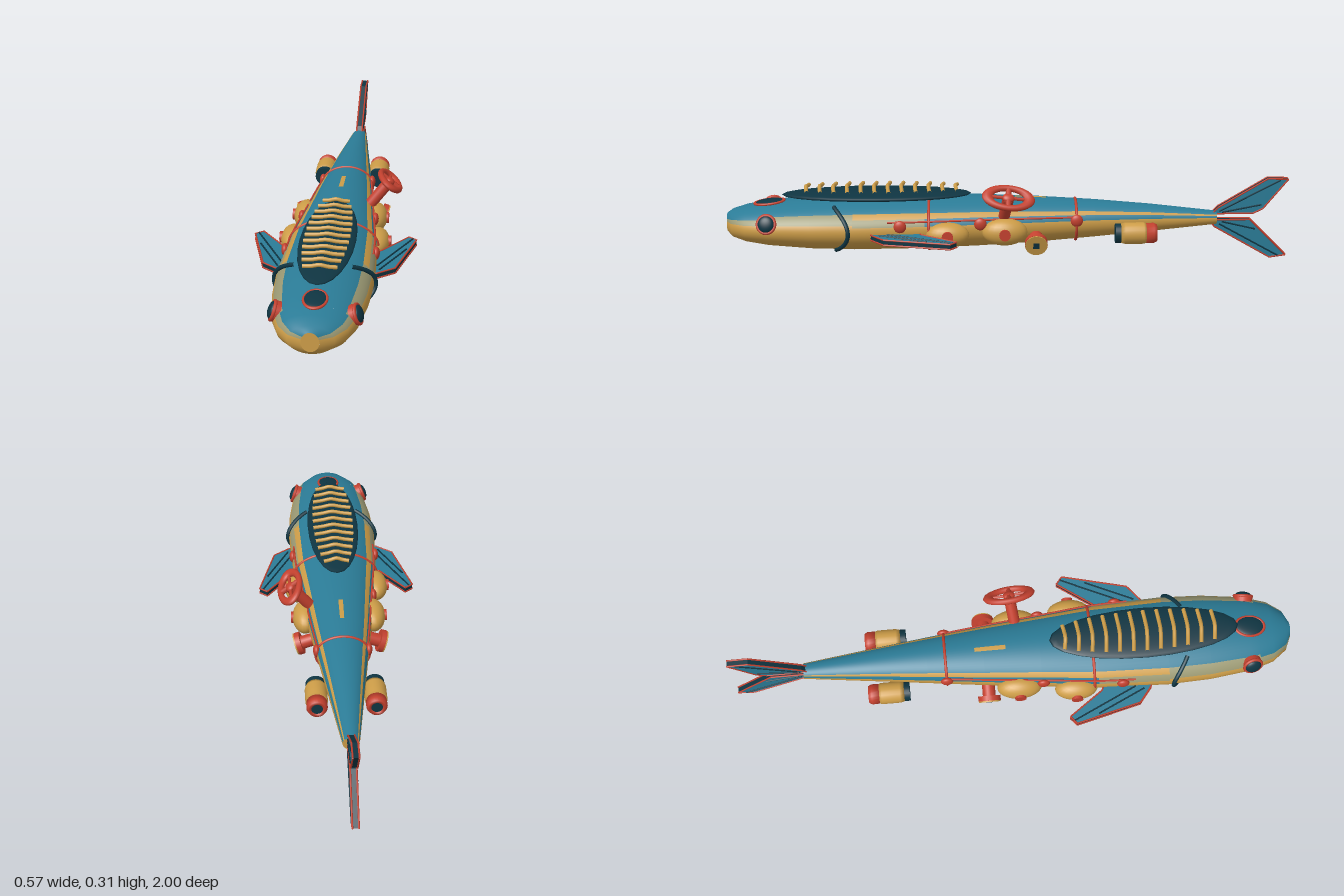
import * as THREE from 'three';

const mat = (name, color) => Object.assign(new THREE.MeshStandardMaterial({ color }), { name });
const V = (x, y, z) => new THREE.Vector3(x, y, z);
const rad = THREE.MathUtils.degToRad;

// Hull stations: z, half width, bottom y, top y
const stations = [
  [-0.74, 0.028, 0.128, 0.175], [-0.5, 0.058, 0.105, 0.202], [-0.3, 0.083, 0.088, 0.219],
  [-0.1, 0.108, 0.073, 0.231], [0.1, 0.13, 0.063, 0.238], [0.3, 0.153, 0.057, 0.242],
  [0.55, 0.163, 0.056, 0.241], [0.7, 0.157, 0.061, 0.235], [0.85, 0.138, 0.073, 0.222],
  [0.93, 0.112, 0.085, 0.209], [0.98, 0.074, 0.1, 0.196], [1, 0.029, 0.117, 0.183],
];

// Point on the hull at an angle (degrees, 0 = left side, 90 = top) and z
function hull(deg, z, off = 0) {
  let i = 0;
  while (i < stations.length - 2 && z > stations[i + 1][0]) i++;
  const a = stations[i], b = stations[i + 1];
  const t = THREE.MathUtils.clamp((z - a[0]) / (b[0] - a[0]), 0, 1);
  const [w, lo, hi] = [1, 2, 3].map(k => a[k] + (b[k] - a[k]) * t);
  return V((w + off) * Math.cos(rad(deg)), (lo + hi) / 2 + ((hi - lo) / 2 + off) * Math.sin(rad(deg)), z);
}

// Smooth piece of hull skin between two angles and two z values
function skin(d0, d1, z0, z1, off = 0) {
  const zs = [z0, ...stations.map(s => s[0]).filter(z => z > z0 && z < z1), z1];
  const n = Math.max(2, Math.ceil((d1 - d0) / 6));
  const pos = [], nor = [], idx = [];
  zs.forEach((z, j) => {
    for (let i = 0; i <= n; i++) {
      const d = d0 + (d1 - d0) * i / n;
      const za = Math.max(-0.74, z - 0.025), zb = Math.min(1, z + 0.025);
      const across = hull(d + 1, z).sub(hull(d - 1, z));
      const along = hull(d, zb).sub(hull(d, za));
      pos.push(...hull(d, z, off).toArray());
      nor.push(...across.cross(along).normalize().toArray());
      if (j && i) {
        const c = j * (n + 1) + i, p = c - n - 1;
        idx.push(p - 1, p, c - 1, p, c, c - 1);
      }
    }
  });
  const g = new THREE.BufferGeometry();
  g.setAttribute('position', new THREE.Float32BufferAttribute(pos, 3));
  g.setAttribute('normal', new THREE.Float32BufferAttribute(nor, 3));
  g.setIndex(idx);
  return g;
}

export function createModel() {
  const model = new THREE.Group();
  const teal = mat('teal', 0x2b7c97), gold = mat('gold', 0xcd9d48), dark = mat('dark teal', 0x0f3542);
  const red = mat('red', 0xc4412f), beige = mat('grey beige', 0x9c9a74);

  const add = (name, geo, m, parent = model) => {
    const mesh = new THREE.Mesh(geo, m);
    mesh.name = name;
    parent.add(mesh);
    return mesh;
  };
  const tube = (name, pts, r, m, closed = false) =>
    add(name, new THREE.TubeGeometry(new THREE.CatmullRomCurve3(pts, closed), pts.length * 3, r, 8, closed), m);
  const bar = (name, a, b, r, m, parent) => {
    const mesh = add(name, new THREE.CylinderGeometry(r, r, a.distanceTo(b), 6), m, parent);
    mesh.position.copy(a).add(b).multiplyScalar(0.5);
    mesh.quaternion.setFromUnitVectors(V(0, 1, 0), b.clone().sub(a).normalize());
  };
  // Group whose local y axis points along dir
  const mount = (name, pos, dir) => {
    const g = new THREE.Group();
    g.name = name;
    g.position.copy(pos);
    g.quaternion.setFromUnitVectors(V(0, 1, 0), dir.normalize());
    model.add(g);
    return g;
  };
  const ball = (name, p, sx, sy, sz, m, parent) => {
    const mesh = add(name, new THREE.SphereGeometry(1, 24, 16), m, parent);
    mesh.position.copy(p);
    mesh.scale.set(sx, sy, sz);
  };
  const disc = (name, r, h, y, m, parent) => {
    add(name, new THREE.CylinderGeometry(r, r, h, 24), m, parent).position.y = y;
  };

  // Painted hull, both halves
  [
    ['hullSide', -90, 17, 0.55, 1, gold], ['noseBand', 17, 40, 0.55, 0.88, beige], ['noseTop', 40, 90, 0.55, 0.88, teal],
    ['noseTipBand', 17, 33, 0.88, 1, beige], ['noseTip', 33, 90, 0.88, 1, teal],
    ['hullSide', -90, 12, -0.74, 0.55, gold], ['sideStripe', 12, 28, -0.74, 0.3, teal],
    ['sideStripeFront', 12, 28, 0.3, 0.55, beige],
    ['shoulderStripe', 28, 40, -0.74, 0.55, gold], ['hullTop', 40, 90, -0.74, 0.55, teal],
  ].forEach(([name, a, b, z0, z1, m]) => {
    add(name, skin(a, b, z0, z1), m);
    add(name, skin(180 - b, 180 - a, z0, z1), m);
  });
  add('bellyStripe', skin(-101, -79, -0.5, 0.62, 0.0015), teal);
  add('backPatch', skin(88, 96, -0.13, -0.02, 0.0015), gold);
  const nose = add('noseCap', new THREE.CircleGeometry(1, 32), gold);
  nose.position.set(0, 0.15, 1);
  nose.scale.set(0.029, 0.033, 1);
  const stern = add('sternCap', new THREE.CircleGeometry(1, 24), gold);
  stern.position.set(0, 0.1515, -0.74);
  stern.scale.set(0.028, 0.0235, 1);
  stern.rotation.y = Math.PI;

  // Red hoops around the hull
  for (const z of [0.285, -0.235])
    tube('hullHoop', Array.from({ length: 36 }, (_, i) => hull(i * 10, z, 0.002)), 0.005, red, true).position.y = -0.002;

  // Dorsal shell with ribs
  ball('dorsalShell', V(0, 0.249, 0.47), 0.094, 0.016, 0.335, dark);
  for (let i = 0; i < 12; i++) {
    const z = 0.185 + i * 0.048;
    const w = 0.075 * Math.sqrt(1 - ((z - 0.47) / 0.36) ** 2);
    tube('dorsalRib', [V(-w, 0.269, z), V(-w / 2, 0.272, z + 0.004), V(0, 0.278, z + 0.006),
      V(w / 2, 0.272, z + 0.004), V(w, 0.269, z)], 0.007, gold);
  }

  // Window on top of the nose
  const port = mount('noseWindow', V(0, 0.2225, 0.85), V(0, 1, 0.11));
  ball('windowGlass', V(0, 0, 0), 0.037, 0.009, 0.052, dark, port);
  const rim = add('windowRim', new THREE.TorusGeometry(0.037, 0.0045, 8, 36), red, port);
  rim.rotation.x = Math.PI / 2;
  rim.scale.y = 1.4;

  // Fin plate with slim red trim and raised dark ribs; lies in local xy
  const fin = (name, outline, ribs, th) => {
    const g = new THREE.Group();
    g.name = name;
    const shape = new THREE.Shape(outline.map(p => new THREE.Vector2(...p)));
    const plate = new THREE.ExtrudeGeometry(shape, { depth: th, bevelEnabled: false });
    add('finPlate', plate.translate(0, 0, -th / 2), [teal, dark], g);
    for (const s of [-1, 1]) {
      const z = s * th / 2, zr = s * (th / 2 + 0.001);
      outline.forEach((p, i) => bar('finTrim', V(...p, z), V(...outline[(i + 1) % outline.length], z), 0.003, red, g));
      ribs.forEach(([a, b]) => bar('finRib', V(...a, zr), V(...b, zr), 0.003, dark, g));
    }
    model.add(g);
    return g;
  };
  const upper = fin('upperTailFin', [[-0.725, 0.168], [-0.745, 0.19], [-0.92, 0.295], [-0.993, 0.293], [-0.905, 0.185], [-0.87, 0.168]],
    [[[-0.75, 0.177], [-0.965, 0.29]], [[-0.76, 0.173], [-0.9, 0.2]]], 0.021);
  const lower = fin('lowerTailFin', [[-0.725, 0.145], [-0.86, 0.145], [-0.993, 0.012], [-0.935, 0.004], [-0.73, 0.122]],
    [[[-0.75, 0.13], [-0.965, 0.01]], [[-0.76, 0.138], [-0.88, 0.11]]], 0.021);
  upper.rotation.y = lower.rotation.y = -Math.PI / 2;

  for (const s of [1, -1]) {
    const P = (x, y, z) => V(s * x, y, z);
    const H = (d, z, off) => { const p = hull(d, z, off); p.x *= s; return p; };

    // Side fin
    const side = fin('sideFin', [[0.14, 0.49], [0.165, 0.485], [0.222, 0.44], [0.28, 0.21], [0.253, 0.188], [0.165, 0.31], [0.14, 0.32]]
      .map(([x, z]) => [s * x, z]), [[[s * 0.16, 0.43], [s * 0.268, 0.202]], [[s * 0.17, 0.46], [s * 0.25, 0.29]]], 0.018);
    side.rotation.x = Math.PI / 2;
    side.position.y = 0.135;

    // Gill arc
    tube('gillArc', Array.from({ length: 13 }, (_, i) => {
      const d = -52 + i * 9;
      return H(d, 0.565 + 0.075 * Math.sin(rad(d)) ** 2, 0.005);
    }), 0.0075, dark);

    // Eye
    const eye = mount('eye', H(22, 0.85, 0.006), P(0.93, 0.33, 0.14));
    disc('eyeBase', 0.034, 0.024, -0.008, red, eye);
    ball('eyeLens', V(0, 0.003, 0), 0.029, 0.013, 0.029, dark, eye);
    add('eyeRim', new THREE.TorusGeometry(0.031, 0.006, 8, 28), red, eye).rotation.x = Math.PI / 2;

    // Side tanks with red buttons
    ball('frontTank', P(0.145, 0.138, 0.22), 0.043, 0.043, 0.076, gold);
    ball('midTank', P(0.122, 0.14, 0.02), 0.044, 0.048, 0.08, gold);
    for (const [x, z] of [[0.187, 0.22], [0.165, 0.02]])
      disc('buttonCap', 0.02, 0.012, 0, red, mount('tankButton', P(x, 0.14, z), P(1, 0, 0)));

    // Red rail with knobs
    tube('sideRail', [0.43, 0.3, 0.1, -0.1, -0.24].map(z => H(22, z, 0.002)), 0.0035, red);
    for (const z of [0.385, 0.105, -0.235]) ball('railKnob', H(13, z, 0.002), 0.012, 0.022, 0.022, red);

    // Outlet valve
    const valve = mount('outletValve', P(0.1, 0.117, -0.09), P(0.95, -0.31, 0));
    disc('valveStem', 0.023, 0.06, 0.02, red, valve);
    disc('valveFlange', 0.04, 0.018, 0.047, red, valve);
    disc('valveFace', 0.039, 0.005, 0.058, gold, valve);
    add('valveSocket', new THREE.BoxGeometry(0.022, 0.004, 0.022), dark, valve).position.y = 0.06;

    // Rear thruster
    const thruster = mount('thruster', P(0.1, 0.125, -0.37), V(0, 0, -1));
    disc('thrusterIntake', 0.034, 0.03, 0.015, dark, thruster);
    const profile = [[0, 0.02], [0.034, 0.02], [0.038, 0.035], [0.038, 0.1], [0.034, 0.112], [0, 0.112]];
    add('thrusterBody', new THREE.LatheGeometry(profile.map(p => new THREE.Vector2(...p)), 24), gold, thruster);
    const nozzle = [[0, 0.105], [0.035, 0.105], [0.036, 0.135], [0.03, 0.147], [0.02, 0.147], [0.02, 0.135], [0, 0.135]];
    add('thrusterNozzle', new THREE.LatheGeometry(nozzle.map(p => new THREE.Vector2(...p)), 24), red, thruster);
    disc('nozzleCore', 0.02, 0.006, 0.14, dark, thruster);
  }

  // Handwheel on the left shoulder
  const wheel = mount('handwheel', V(0.173, 0.277, 0.008), V(0.62, 0.77, -0.12));
  disc('wheelStem', 0.02, 0.11, -0.055, red, wheel);
  ball('wheelHub', V(0, 0, 0), 0.018, 0.012, 0.022, red, wheel);
  const ring = add('wheelRing', new THREE.TorusGeometry(0.042, 0.011, 10, 36), red, wheel);
  ring.rotation.x = Math.PI / 2;
  ring.scale.y = 1.75;
  bar('wheelCrossbar', V(-0.042, 0, 0), V(0.042, 0, 0), 0.01, red, wheel);
  bar('wheelLongSpoke', V(0, 0, -0.073), V(0, 0, 0.073), 0.006, red, wheel);
  return model;
}
